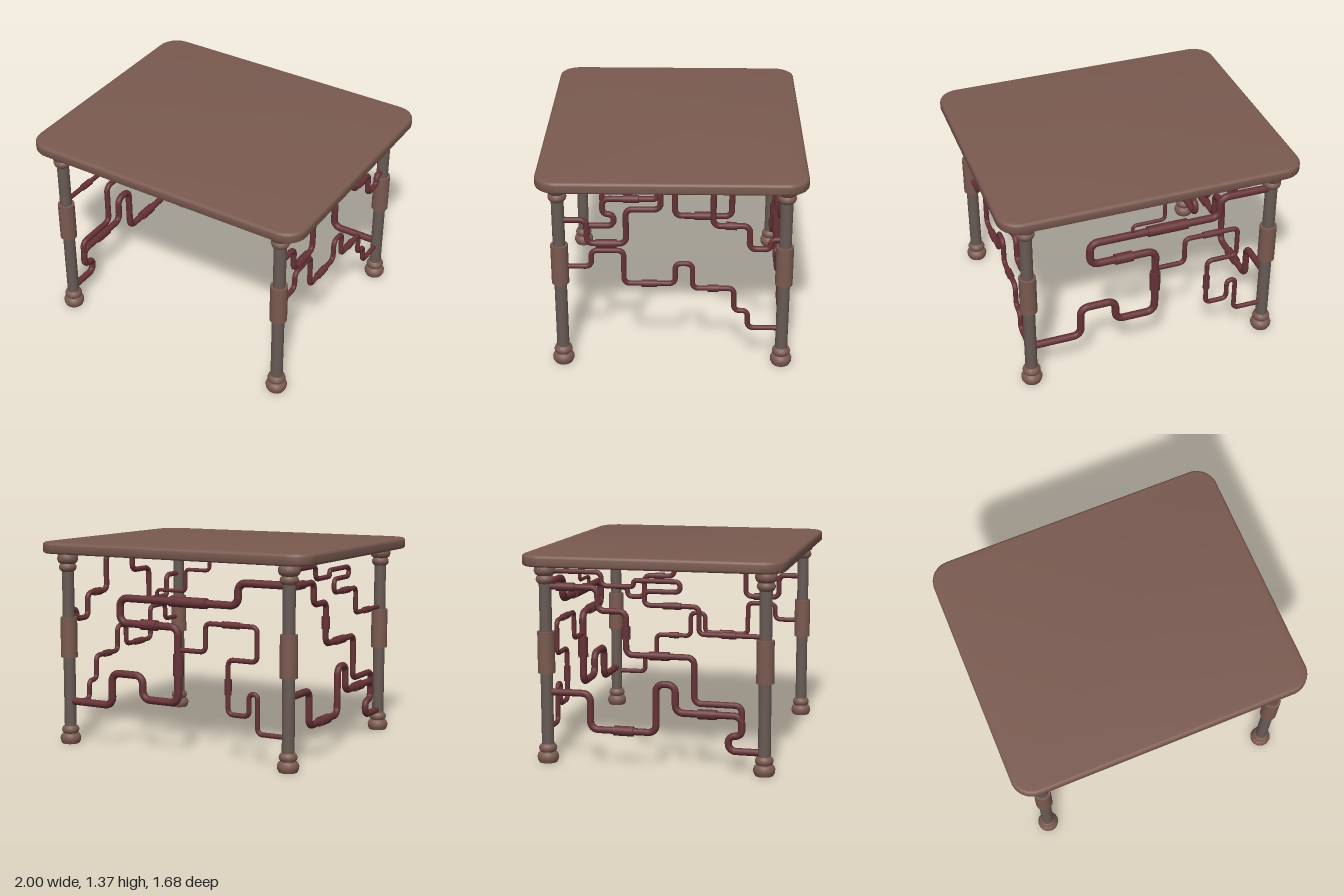
import * as THREE from 'three';
import { toCreasedNormals } from 'three/addons/utils/BufferGeometryUtils.js';

const mat = (color) => new THREE.MeshStandardMaterial({ color });
const wood = mat(0x7a5a50), pole = mat(0x685a55), pipeMat = mat(0x653236);
const LEG_X = 0.825, LEG_Z = 0.71, TOP_Y = 1.29;

function add(parent, name, geometry, material) {
  const mesh = new THREE.Mesh(geometry, material);
  mesh.name = name;
  parent.add(mesh);
  return mesh;
}

// Straight runs joined by round elbows, sampled only where the path bends
class BentPath extends THREE.Curve {
  constructor(corners, bend) {
    super();
    this.points = [];
    this.tangents = [];
    const last = corners.length - 1;
    const dir = (i) => corners[i + 1].clone().sub(corners[i]).normalize();
    const put = (p, t) => { this.points.push(p); this.tangents.push(t); };
    put(corners[0], dir(0));
    for (let i = 1; i < last; i++) {
      const a = dir(i - 1), b = dir(i);
      const r = Math.min(bend, 0.49 * corners[i].distanceTo(corners[i - 1]), 0.49 * corners[i].distanceTo(corners[i + 1]));
      for (let k = 0; k <= 8; k++) {
        const s = Math.sin(k * Math.PI / 16), c = Math.cos(k * Math.PI / 16);
        put(corners[i].clone().addScaledVector(a, r * (s - 1)).addScaledVector(b, r * (1 - c)),
          a.clone().multiplyScalar(c).addScaledVector(b, s));
      }
    }
    put(corners[last], dir(last - 1));
  }
  index(u) { return Math.round(u * (this.points.length - 1)); }
  getPoint(u) { return this.points[this.index(u)].clone(); }
  getPointAt(u) { return this.getPoint(u); }
  getTangentAt(u) { return this.tangents[this.index(u)].clone(); }
}

// One pipe in a vertical plane; place(h, y) maps plane coordinates to space.
// Sleeves are [h, y, length, upright]
function pipe(parent, name, place, radius, path, sleeves = []) {
  const group = new THREE.Group();
  group.name = name;
  parent.add(group);
  const curve = new BentPath(path.map(([h, y]) => place(h, y)), radius * 2.2);
  add(group, 'pipeRun', new THREE.TubeGeometry(curve, curve.points.length - 1, radius, 14), pipeMat);
  for (const [h, y, length, upright] of sleeves) {
    const sleeve = add(group, 'pipeSleeve', new THREE.CylinderGeometry(radius * 1.4, radius * 1.4, length, 20), pipeMat);
    sleeve.position.copy(place(h, y));
    const axis = place(1, 0).sub(place(0, 0)).normalize();
    if (!upright) sleeve.quaternion.setFromUnitVectors(new THREE.Vector3(0, 1, 0), axis);
  }
}

// Tabletop with round corners and a softened rim
function tabletop() {
  const b = 0.02, w = 1 - b, d = 0.84 - b, r = 0.12;
  const s = new THREE.Shape();
  s.absarc(w - r, d - r, r, 0, Math.PI / 2);
  s.absarc(-w + r, d - r, r, Math.PI / 2, Math.PI);
  s.absarc(-w + r, -d + r, r, Math.PI, Math.PI * 1.5);
  s.absarc(w - r, -d + r, r, Math.PI * 1.5, Math.PI * 2);
  const g = new THREE.ExtrudeGeometry(s, {
    depth: 0.035, bevelEnabled: true, bevelSize: b, bevelThickness: b, bevelSegments: 4, curveSegments: 12
  });
  g.rotateX(-Math.PI / 2);
  g.translate(0, TOP_Y + b, 0);
  return toCreasedNormals(g, 0.6);
}

// Stacked double-bead turning used as foot and, flipped, as capital
function turning() {
  const profile = [[0, 0], [0.058, 0], [0.068, 0.02], [0.07, 0.04], [0.062, 0.06], [0.048, 0.07],
    [0.056, 0.08], [0.059, 0.095], [0.054, 0.11], [0.042, 0.122], [0.038, 0.122]];
  const g = new THREE.LatheGeometry(profile.map(([x, y]) => new THREE.Vector2(x, y)), 28);
  return toCreasedNormals(g, 0.7);
}

function leg(x, z) {
  const group = new THREE.Group();
  group.name = 'leg';
  group.position.set(x, 0, z);
  const post = add(group, 'legPost', new THREE.CylinderGeometry(0.04, 0.04, TOP_Y - 0.02, 28), pole);
  post.position.y = TOP_Y / 2;
  add(group, 'legSleeve', new THREE.CylinderGeometry(0.056, 0.056, 0.27, 28), wood).position.y = 0.725;
  add(group, 'foot', turning(), wood);
  const capital = add(group, 'capital', turning(), wood);
  capital.rotation.x = Math.PI;
  capital.position.y = TOP_Y;
  return group;
}

export function createModel() {
  const model = new THREE.Group();
  model.name = 'pipeTable';
  add(model, 'tabletop', tabletop(), wood);
  for (const x of [-LEG_X, LEG_X]) for (const z of [-LEG_Z, LEG_Z]) model.add(leg(x, z));

  const back = (x, y) => new THREE.Vector3(x, y, -LEG_Z);
  const left = (z, y) => new THREE.Vector3(LEG_X, y, z);
  const right = (z, y) => new THREE.Vector3(-LEG_X, y, z);

  // Back side
  pipe(model, 'backMainPipe', back, 0.025,
    [[-0.825, 1.16], [-0.47, 1.16], [-0.47, 1.015], [0.41, 1.015], [0.41, 0.85], [-0.033, 0.85],
      [-0.033, 0.355], [0.24, 0.355], [0.24, 0.51], [0.48, 0.51], [0.48, 0.29], [0.825, 0.29]],
    [[-0.11, 1.015, 0.27], [0.185, 0.85, 0.12], [-0.033, 0.605, 0.14, true]]);
  pipe(model, 'backBranchPipe', back, 0.016,
    [[-0.825, 0.215], [-0.61, 0.215], [-0.61, 0.465], [-0.55, 0.465], [-0.55, 0.32], [-0.4, 0.32],
      [-0.4, 0.67], [-0.605, 0.67], [-0.605, 0.89], [-0.235, 0.89], [-0.235, 0.705], [-0.033, 0.705]],
    [[-0.42, 0.89, 0.12], [-0.4, 0.495, 0.1, true]]);
  pipe(model, 'backThinPipe', back, 0.012,
    [[-0.265, 1.3], [-0.265, 1.225], [-0.09, 1.225], [-0.09, 1.085], [0.125, 1.085], [0.125, 1.015]]);

  // Side at -x
  pipe(model, 'rightLowerPipe', right, 0.023,
    [[0.71, 0.142], [0.48, 0.142], [0.48, 0.24], [0.565, 0.24], [0.565, 0.37], [0.138, 0.37],
      [0.138, 0.55], [0.012, 0.55], [0.012, 0.232], [-0.42, 0.232], [-0.42, 0.465], [-0.71, 0.465]],
    [[0.345, 0.37, 0.12], [-0.2, 0.232, 0.13]]);
  pipe(model, 'rightMiddlePipe', right, 0.02,
    [[0.565, 0.35], [0.565, 0.437], [0.26, 0.437], [0.26, 0.73], [-0.18, 0.73], [-0.18, 1.005],
      [-0.365, 1.005], [-0.365, 1.15], [-0.71, 1.15]],
    [[0.035, 0.73, 0.13], [-0.18, 0.87, 0.08, true], [-0.575, 1.15, 0.12]]);
  pipe(model, 'rightUpperPipe', right, 0.016,
    [[0.71, 0.88], [0.29, 0.88], [0.29, 1.052], [-0.06, 1.052], [-0.06, 1.14], [0.17, 1.14],
      [0.17, 1.205], [-0.13, 1.205], [-0.13, 1.165], [-0.34, 1.165], [-0.34, 1.25], [-0.71, 1.25]],
    [[0.12, 1.052, 0.11], [0.48, 0.88, 0.09]]);

  // Side at +x
  pipe(model, 'leftUpperPipe', left, 0.019,
    [[0.71, 1.033], [0.535, 1.033], [0.535, 0.87], [0.288, 0.87], [0.288, 1.11], [0.07, 1.11],
      [0.07, 1.25], [-0.258, 1.25], [-0.258, 1], [-0.487, 1], [-0.487, 0.838], [-0.62, 0.838],
      [-0.62, 0.905], [-0.71, 0.905]],
    [[0.415, 0.87, 0.13], [-0.37, 1, 0.07]]);
  pipe(model, 'leftLowerPipe', left, 0.017,
    [[0.71, 0.705], [0.51, 0.705], [0.51, 0.82], [0.305, 0.82], [0.305, 0.585], [-0.02, 0.585],
      [-0.02, 0.73], [-0.13, 0.73], [-0.13, 0.553], [-0.395, 0.553], [-0.395, 0.39], [-0.485, 0.39],
      [-0.485, 0.263], [-0.71, 0.263]],
    [[0.145, 0.585, 0.1], [-0.26, 0.553, 0.07]]);
  return model;
}
